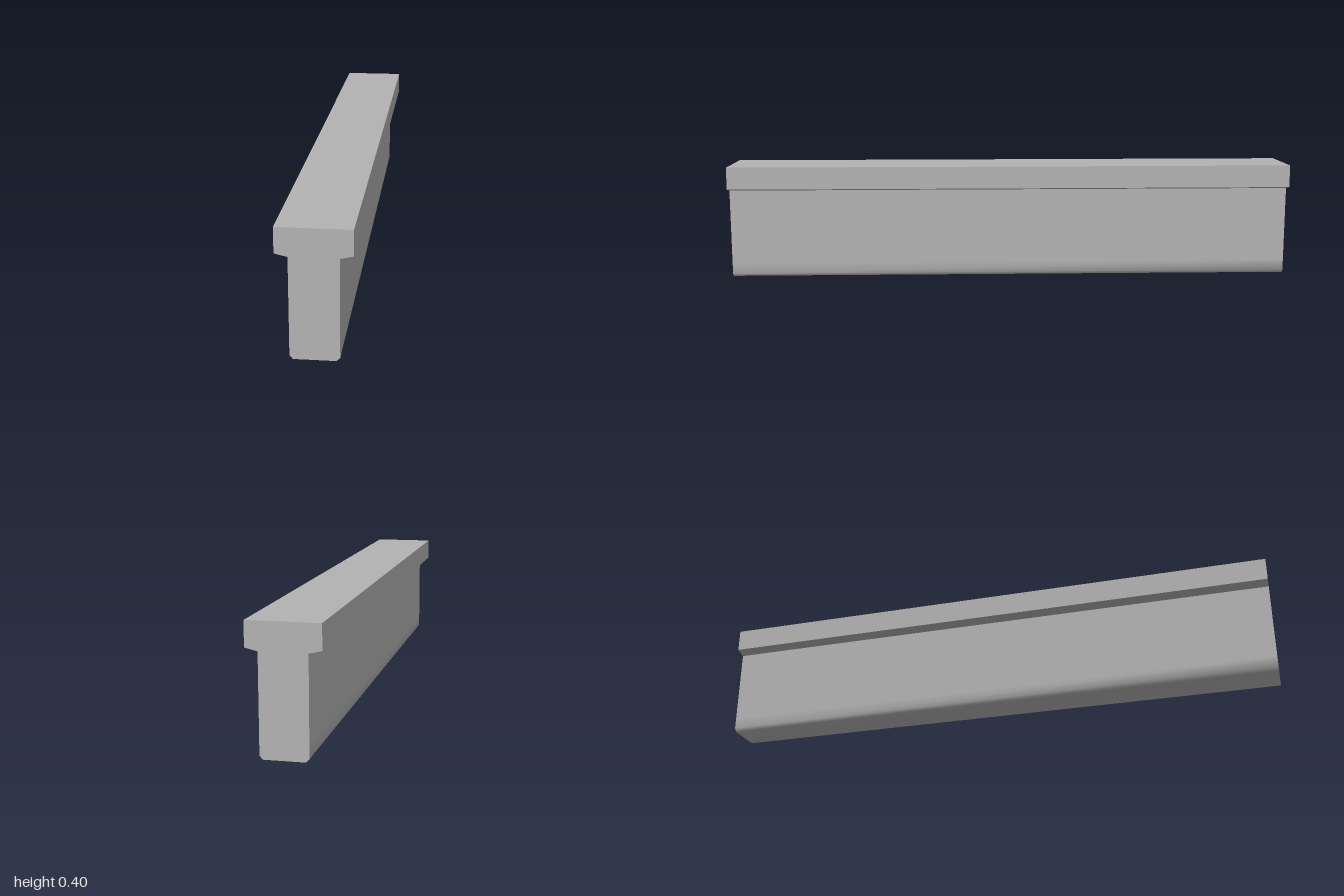
import * as THREE from 'three';
import { toCreasedNormals } from 'three/addons/utils/BufferGeometryUtils.js';

export function createModel() {
  const group = new THREE.Group();
  group.name = 'teeBeam';
  const concrete = new THREE.MeshStandardMaterial({ color: 0xb2b2b2 });
  concrete.name = 'concrete grey';

  // Half of the T section, bottom to top, then mirrored
  const half = [
    [0.063, 0], [0.073, 0.011], [0.073, 0.05], // softened foot edge
    [0.073, 0.313], [0.112, 0.322], [0.112, 0.4], // sloped ledge and wide head
  ];
  const mirrored = half.map(([x, y]) => [-x, y]).reverse();
  const section = new THREE.Shape([...half, ...mirrored].map(([x, y]) => new THREE.Vector2(x, y)));

  // Full-length extrusion; only the 45 degree foot edges are smoothed
  const geometry = new THREE.ExtrudeGeometry(section, { depth: 2, bevelEnabled: false });
  geometry.translate(0, 0, -1);
  const beam = new THREE.Mesh(toCreasedNormals(geometry, 0.95), concrete);
  beam.name = 'beam';
  group.add(beam);
  return group;
}
